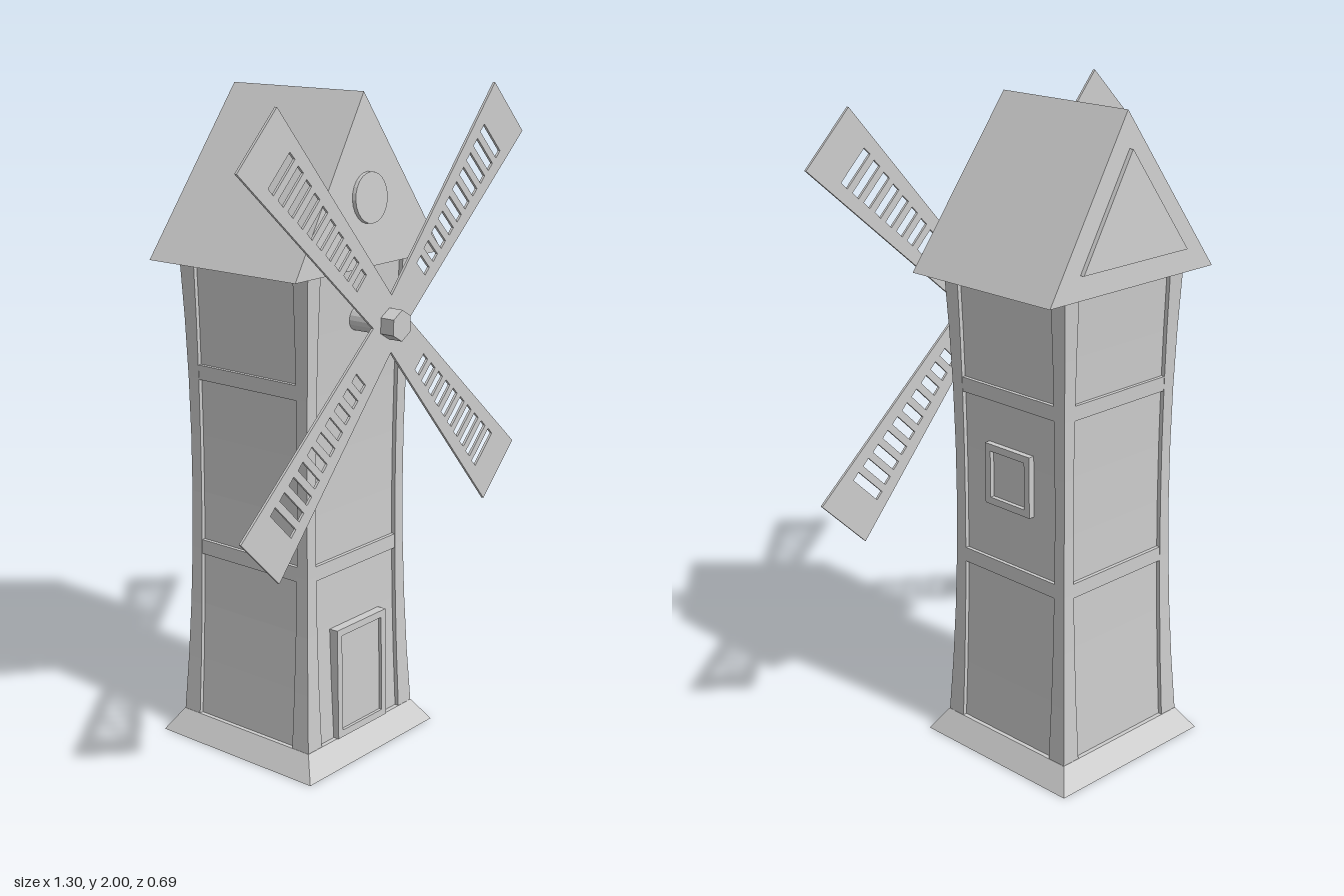
import * as THREE from 'three';
import { ConvexGeometry } from 'three/addons/geometries/ConvexGeometry.js';

const material = new THREE.MeshStandardMaterial({ color: 0xcccccc, flatShading: true });

const TOWER_BOTTOM = 0.07, TOWER_TOP = 1.51, BASE_HALF = 0.253;

// Half width of the gently waisted tower at height y
const halfAt = (y) => 0.228 + 0.025 * ((y - 0.85) / 0.78) ** 2;

function add(parent, name, geometry, x = 0, y = 0, z = 0) {
  const mesh = new THREE.Mesh(geometry, material);
  mesh.name = name;
  mesh.position.set(x, y, z);
  parent.add(mesh);
  return mesh;
}

// Box whose outer faces follow the waist of the tower
function waistedBox(x0, x1, y0, y1, z0, z1) {
  const g = new THREE.BoxGeometry(x1 - x0, y1 - y0, z1 - z0, 1, Math.ceil((y1 - y0) / 0.18), 1);
  g.translate((x0 + x1) / 2, (y0 + y1) / 2, (z0 + z1) / 2);
  const p = g.attributes.position;
  for (let i = 0; i < p.count; i++) {
    const shift = halfAt(p.getY(i)) - BASE_HALF;
    const x = p.getX(i), z = p.getZ(i);
    if (Math.abs(x) > 0.22) p.setX(i, x + Math.sign(x) * shift);
    if (Math.abs(z) > 0.22) p.setZ(i, z + Math.sign(z) * shift);
  }
  g.computeVertexNormals();
  return g;
}

function polygon(points, Type = THREE.Shape) {
  return new Type(points.map(([x, y]) => new THREE.Vector2(x, y)));
}

function extrude(shape, depth) {
  return new THREE.ExtrudeGeometry(shape, { depth, bevelEnabled: false });
}

function frame(w, h, border, depth) {
  const rect = (a, b) => [[-a, -b], [a, -b], [a, b], [-a, b]];
  const shape = polygon(rect(w / 2, h / 2));
  shape.holes.push(polygon(rect(w / 2 - border, h / 2 - border).reverse(), THREE.Path));
  return extrude(shape, depth);
}

function createTower() {
  const tower = new THREE.Group();
  tower.name = 'tower';

  // Flared plinth
  const plinth = new THREE.CylinderGeometry(0.254 * Math.SQRT2, 0.3 * Math.SQRT2, 0.07, 4);
  plinth.rotateY(Math.PI / 4);
  add(tower, 'plinth', plinth, 0, 0.035, 0);

  // Recessed walls, corner posts and cross beams
  const wall = BASE_HALF - 0.013;
  add(tower, 'walls', waistedBox(-wall, wall, TOWER_BOTTOM, TOWER_TOP, -wall, wall));
  for (const sx of [-1, 1]) for (const sz of [-1, 1]) {
    const [x0, x1] = sx > 0 ? [0.19, BASE_HALF] : [-BASE_HALF, -0.19];
    const [z0, z1] = sz > 0 ? [0.19, BASE_HALF] : [-BASE_HALF, -0.19];
    add(tower, 'cornerPost', waistedBox(x0, x1, TOWER_BOTTOM, TOWER_TOP, z0, z1));
  }
  for (let side = 0; side < 4; side++) {
    for (const y of side === 0 ? [0.595] : [0.595, 1.145]) {
      const beam = waistedBox(-0.195, 0.195, y, y + 0.045, 0.195, BASE_HALF - 0.001);
      add(tower, 'crossBeam', beam).rotation.y = side * Math.PI / 2;
    }
  }

  // Door on the front
  const door = new THREE.Group();
  door.name = 'door';
  door.position.set(0, 0.245, 0.222);
  door.rotation.x = -0.022;
  add(door, 'doorFrame', frame(0.235, 0.35, 0.022, 0.034));
  add(door, 'doorLeaf', new THREE.BoxGeometry(0.2, 0.33, 0.024), 0, 0, 0.012);
  tower.add(door);

  // Window on the left side
  const win = new THREE.Group();
  win.name = 'window';
  win.position.set(0.205, 0.915, 0);
  win.rotation.y = Math.PI / 2;
  add(win, 'windowFrame', frame(0.185, 0.19, 0.022, 0.03));
  add(win, 'windowPane', new THREE.BoxGeometry(0.15, 0.155, 0.016), 0, 0, 0.008);
  tower.add(win);
  return tower;
}

function createRoof() {
  const roof = new THREE.Group();
  roof.name = 'roof';
  const corners = [];
  for (const s of [-1, 1]) {
    corners.push(new THREE.Vector3(-0.337, TOWER_TOP, s * 0.278));
    corners.push(new THREE.Vector3(0.337, TOWER_TOP, s * 0.278));
    corners.push(new THREE.Vector3(0, 2, s * 0.244));
  }
  add(roof, 'roofBody', new ConvexGeometry(corners));

  // Gable details lie on the leaning gable faces
  const lean = Math.atan(0.034 / 0.49);
  const panel = extrude(polygon([[-0.215, 0.07], [0.215, 0.07], [0, 0.385]]), 0.014);
  panel.rotateX(-lean).translate(0, 0, 0.278).rotateY(Math.PI);
  add(roof, 'backGablePanel', panel, 0, TOWER_TOP, 0);

  const disc = new THREE.CylinderGeometry(0.073, 0.075, 0.024, 24);
  disc.rotateX(Math.PI / 2 - lean);
  add(roof, 'gableRoundel', disc, 0, 1.705, 0.264);
  return roof;
}

function createSails() {
  const sails = new THREE.Group();
  sails.name = 'sails';

  // One tapered sail along +x, pierced by a ladder of slots
  const length = 0.807;
  const half = (r) => 0.055 + 0.055 * r / length;
  const shape = polygon([[0, -half(0)], [length, -half(length)], [length, half(length)], [0, half(0)]]);
  for (let i = 0; i < 10; i++) {
    const r = 0.195 + i * 0.0515, h = half(r) - 0.039;
    shape.holes.push(polygon([[r, -h], [r, h], [r + 0.029, h], [r + 0.029, -h]], THREE.Path));
  }
  const sail = extrude(shape, 0.008);
  for (let i = 0; i < 4; i++) {
    add(sails, 'sail', sail, 0, 0, 0.291).rotation.z = Math.PI / 4 + i * Math.PI / 2;
  }

  // Axle and hexagonal hub
  const axle = new THREE.CylinderGeometry(0.036, 0.036, 0.15, 16).rotateX(Math.PI / 2);
  add(sails, 'axle', axle, -0.01, 0.002, 0.225);
  const hub = new THREE.CylinderGeometry(0.046, 0.046, 0.047, 6).rotateX(Math.PI / 2);
  add(sails, 'hub', hub, -0.01, 0.002, 0.3215);
  return sails;
}

export function createModel() {
  const model = new THREE.Group();
  model.name = 'windmill';
  const building = new THREE.Group();
  building.name = 'building';
  building.position.set(-0.012, 0, -0.044);
  building.add(createTower(), createRoof());
  const sails = createSails();
  sails.position.set(-0.002, 1.35, 0);
  model.add(building, sails);
  return model;
}
